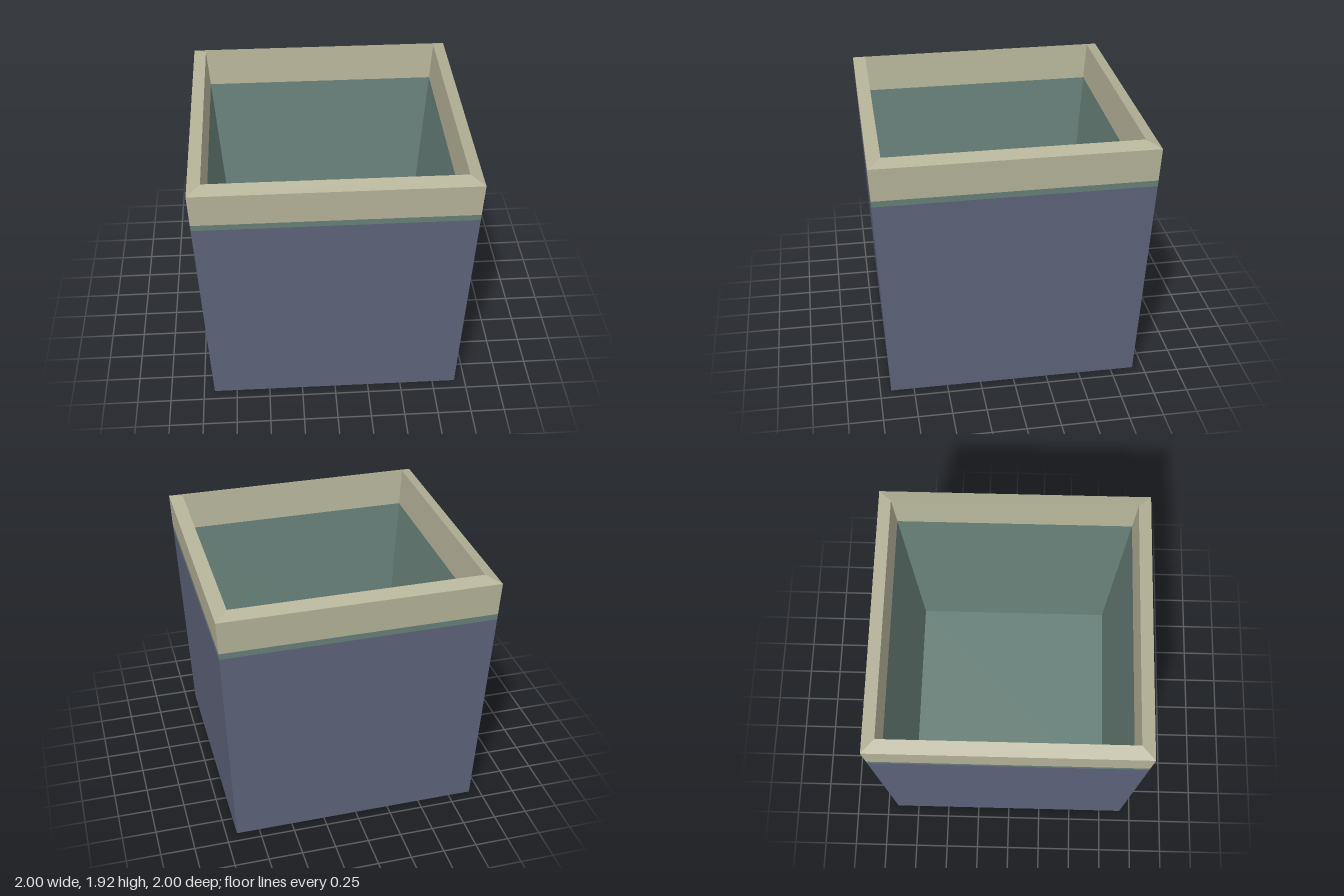
import * as THREE from 'three';

const paint = (name, color) =>
  new THREE.MeshStandardMaterial({ name, color, side: THREE.DoubleSide });

// Open four-sided tapered band between two heights; half widths a0 (bottom), a1 (top)
function band(name, material, y0, a0, y1, a1, inward = false) {
  const s = Math.SQRT2;
  const indexed = new THREE.CylinderGeometry(a1 * s, a0 * s, y1 - y0, 4, 1, true);
  if (inward) indexed.index.array.reverse();
  const geometry = indexed.toNonIndexed();
  geometry.rotateY(Math.PI / 4);
  geometry.translate(0, (y0 + y1) / 2, 0);
  geometry.computeVertexNormals();
  const mesh = new THREE.Mesh(geometry, material);
  mesh.name = name;
  return mesh;
}

export function createModel() {
  const blue = paint('slate blue', 0x5d637a);
  const teal = paint('grey teal', 0x688079);
  const beige = paint('khaki beige', 0xb5b399);

  const rimY = 1.89, topY = 1.925, floorY = 0.185;
  const blueTop = 1.6, tealTop = 1.645;

  // Half widths of the outer and inner walls at a given height
  const outer = (y) => 0.92 + 0.08 * (y / rimY);
  const inner = (y) => 0.765 + 0.14 * ((y - floorY) / (topY - floorY));

  const group = new THREE.Group();
  group.name = 'squareTub';

  // Outer shell, open underneath
  group.add(band('outerWall', blue, 0, outer(0), blueTop, outer(blueTop)));
  group.add(band('outerStripe', teal, blueTop, outer(blueTop), tealTop, outer(tealTop)));
  group.add(band('outerCollar', beige, tealTop, outer(tealTop), rimY, outer(rimY)));

  // Sloping rim
  group.add(band('rim', beige, rimY, outer(rimY), topY, inner(topY)));

  // Inner shell
  group.add(band('innerCollar', beige, tealTop, inner(tealTop), topY, inner(topY), true));
  group.add(band('innerWall', teal, floorY, inner(floorY), tealTop, inner(tealTop), true));

  // Raised floor
  const side = 2 * inner(floorY);
  const floor = new THREE.Mesh(new THREE.PlaneGeometry(side, side), teal);
  floor.name = 'floor';
  floor.rotation.x = -Math.PI / 2;
  floor.position.y = floorY;
  group.add(floor);

  return group;
}
